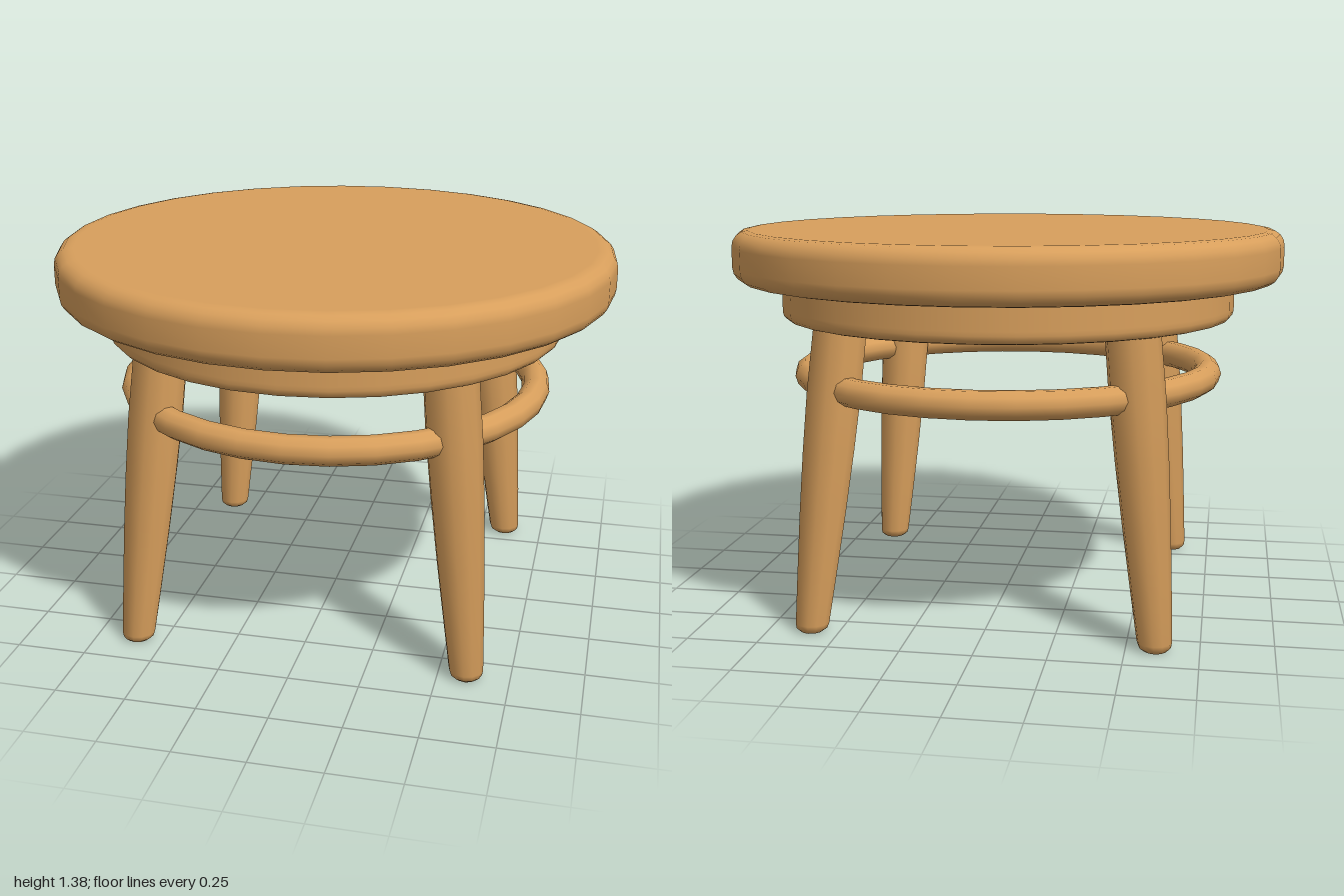
import * as THREE from 'three';

const wood = new THREE.MeshStandardMaterial({ color: 0xd89f5c });
wood.name = 'warmWood';

// Turned part from a bottom-to-top list of [radius, height]
function turned(name, profile, segments) {
  const points = profile.map(([r, y]) => new THREE.Vector2(r, y));
  const mesh = new THREE.Mesh(new THREE.LatheGeometry(points, segments), wood);
  mesh.name = name;
  return mesh;
}

// Quarter-round edge points, from angle a0 to a1 in degrees
function round(cx, cy, r, a0, a1, steps = 4) {
  return Array.from({ length: steps + 1 }, (_, i) => {
    const a = THREE.MathUtils.degToRad(a0 + ((a1 - a0) * i) / steps);
    return [cx + r * Math.cos(a), cy + r * Math.sin(a)];
  });
}

export function createModel() {
  const stool = new THREE.Group();
  stool.name = 'stool';

  // Thick round seat with softened edges
  stool.add(turned('seat', [
    [0, 1.19], [0.93, 1.19],
    ...round(0.943, 1.247, 0.057, -90, 0),
    ...round(0.943, 1.319, 0.057, 0, 90),
    [0.93, 1.376], [0, 1.376],
  ], 32));

  // Solid apron disc below the seat
  stool.add(turned('apron', [
    [0, 1.055], [0.79, 1.055],
    ...round(0.798, 1.085, 0.03, -90, 0, 3),
    [0.828, 1.1], [0.828, 1.2],
  ], 32));

  // Four tapered legs, splayed outward along the diagonals
  const legProfile = [
    [0, 0], [0.04, 0], [0.055, 0.012], [0.06, 0.03],
    [0.07, 0.2], [0.082, 0.42], [0.091, 0.64], [0.096, 0.85], [0.094, 1.08],
  ];
  for (const sx of [-1, 1]) {
    for (const sz of [-1, 1]) {
      const leg = turned(sz > 0 ? 'frontLeg' : 'backLeg', legProfile, 12);
      const pos = leg.geometry.attributes.position;
      for (let i = 0; i < pos.count; i++) {
        const offset = 0.6 - 0.094 * pos.getY(i);
        pos.setX(i, pos.getX(i) + sx * offset);
        pos.setZ(i, pos.getZ(i) + sz * offset);
      }
      stool.add(leg);
    }
  }

  // Round stretcher ring passing through the legs
  const ring = new THREE.Mesh(new THREE.TorusGeometry(0.74, 0.05, 10, 32), wood);
  ring.name = 'stretcherRing';
  ring.rotation.x = Math.PI / 2;
  ring.position.y = 0.85;
  stool.add(ring);

  return stool;
}
